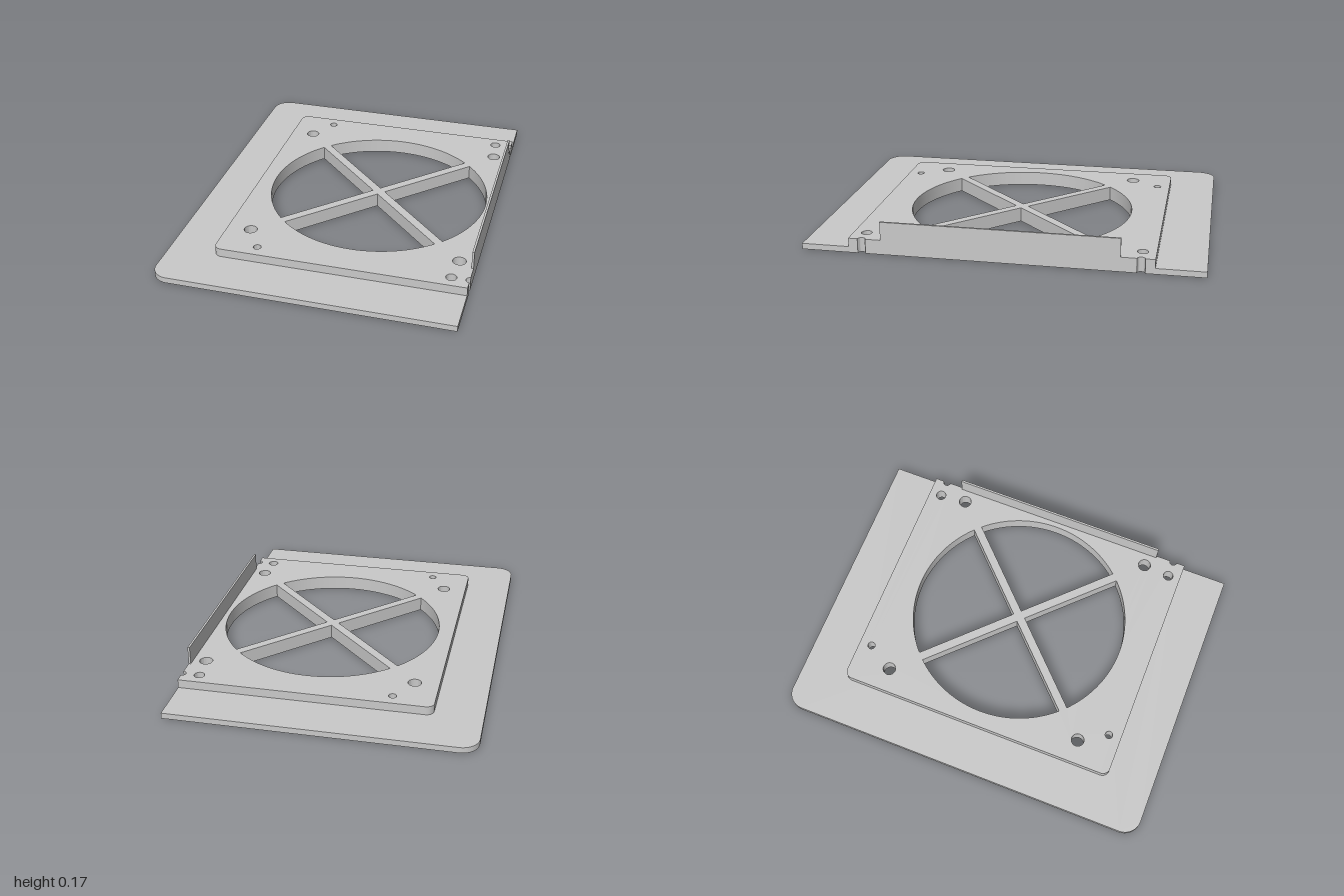
import * as THREE from 'three';
import { toCreasedNormals } from 'three/addons/utils/BufferGeometryUtils.js';

const RIGHT = 0.766, CX = 0.143, RADIUS = 0.585, HALF_SPOKE = 0.023;
const NOTCH_Z = 0.69, NOTCH_R = 0.02;

// Rounded on the left, straight on the right with two half-round notches
function outline(left, half, r) {
  const s = new THREE.Shape();
  s.moveTo(left + r, -half);
  s.lineTo(RIGHT, -half);
  for (const z of [-NOTCH_Z, NOTCH_Z]) {
    s.lineTo(RIGHT, z - NOTCH_R);
    s.absarc(RIGHT, z, NOTCH_R, -Math.PI / 2, Math.PI / 2, true);
  }
  s.lineTo(RIGHT, half);
  s.lineTo(left + r, half);
  s.absarc(left + r, half - r, r, Math.PI / 2, Math.PI, false);
  s.lineTo(left, -half + r);
  s.absarc(left + r, -half + r, r, Math.PI, Math.PI * 1.5, false);
  return s;
}

// Four sector openings leave the crossed spokes; round screw holes sit around them
function addHoles(shape) {
  const inset = Math.asin(HALF_SPOKE / RADIUS);
  const apex = HALF_SPOKE * Math.SQRT2;
  for (let i = 0; i < 4; i++) {
    const a = i * Math.PI / 2;
    const p = new THREE.Path();
    p.absarc(CX, 0, RADIUS, a - Math.PI / 4 + inset, a + Math.PI / 4 - inset, false);
    p.lineTo(CX + apex * Math.cos(a), apex * Math.sin(a));
    p.closePath();
    shape.holes.push(p);
  }
  const screws = [[-0.4, 0.545, 0.034], [0.688, 0.545, 0.034], [-0.313, 0.69, 0.02], [0.675, 0.69, 0.027]];
  for (const [x, z, r] of screws) {
    for (const side of [-1, 1]) {
      const p = new THREE.Path();
      p.absarc(x, side * z, r, 0, Math.PI * 2, false);
      shape.holes.push(p);
    }
  }
  return shape;
}

function slab(name, shape, y, height, material) {
  let g = new THREE.ExtrudeGeometry(shape, { depth: height, bevelEnabled: false, curveSegments: 32 });
  g.rotateX(-Math.PI / 2);
  g = toCreasedNormals(g, 0.5);
  const mesh = new THREE.Mesh(g, material);
  mesh.name = name;
  mesh.position.y = y;
  return mesh;
}

export function createModel() {
  const grey = new THREE.MeshStandardMaterial({ color: 0xc9c9c9 });
  grey.name = 'light grey';
  const model = new THREE.Group();
  model.name = 'fanMountPlate';

  model.add(slab('basePlate', addHoles(outline(-0.767, 1, 0.09)), 0, 0.03, grey));
  model.add(slab('raisedPlate', addHoles(outline(-0.524, 0.757, 0.04)), 0.03, 0.045, grey));

  // Thin upright lip along the right edge
  const lip = new THREE.Mesh(new THREE.BoxGeometry(0.011, 0.095, 1.184), grey);
  lip.name = 'edgeLip';
  lip.position.set(RIGHT - 0.0055, 0.1225, 0);
  model.add(lip);

  return model;
}
